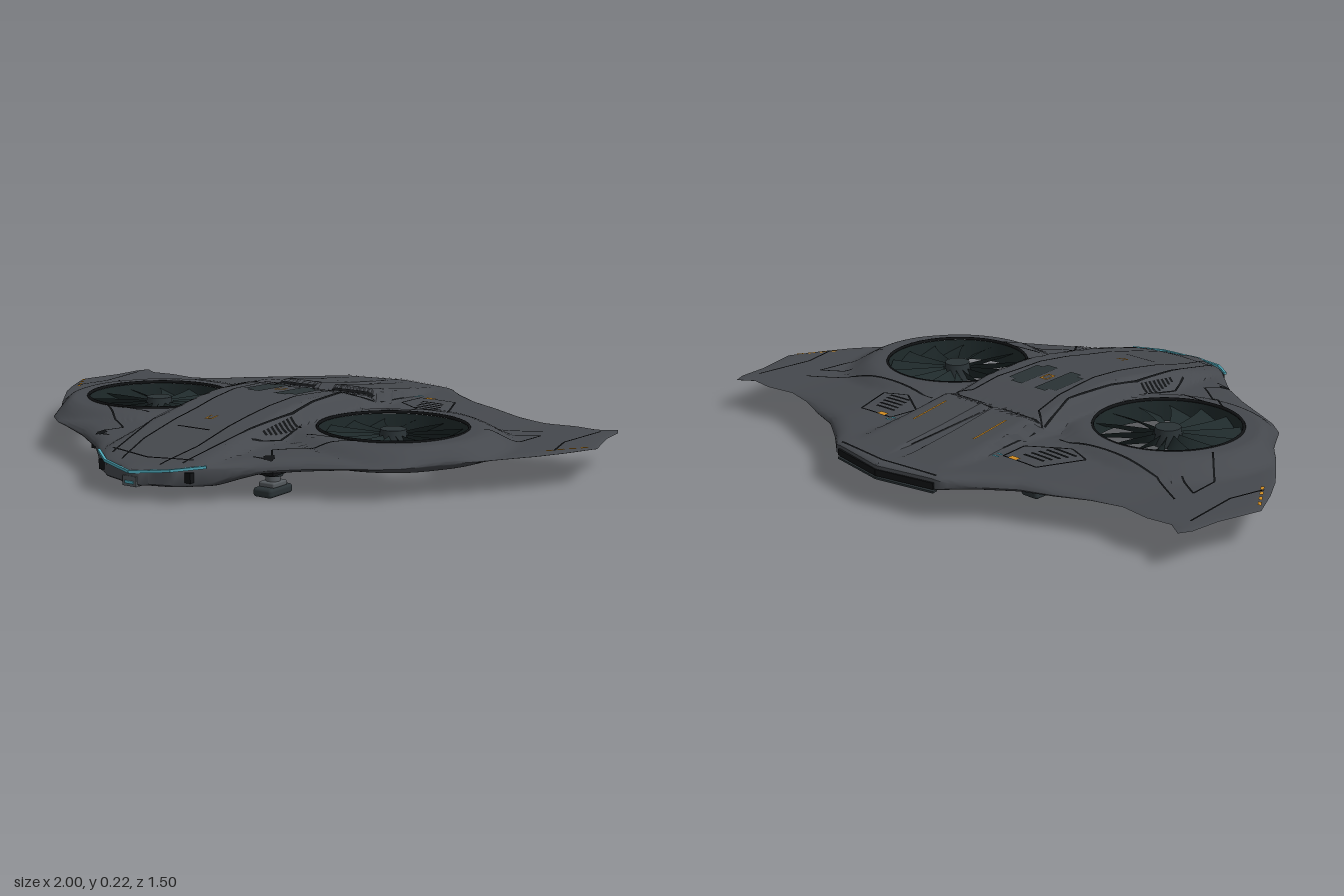
import * as THREE from 'three';
import { mergeGeometries, toCreasedNormals } from 'three/addons/utils/BufferGeometryUtils.js';
import { RoundedBoxGeometry } from 'three/addons/geometries/RoundedBoxGeometry.js';
import { ParametricGeometry } from 'three/addons/geometries/ParametricGeometry.js';

const mat = (name, color, side = THREE.FrontSide) => {
  const m = new THREE.MeshStandardMaterial({ color, side });
  m.name = name;
  return m;
};

// Half outline of the flying wing as (x, z), from nose to tail
const OUTLINE = [[0, .742], [.03, .737], [.05, .72], [.12, .70], [.17, .66], [.3, .54], [.42, .46], [.6, .37],
  [.66, .32], [.70, .25], [.73, .2], [.79, .13], [.9, -.02], [.95, -.11], [1, -.22], [.96, -.36], [.95, -.46], [.93, -.5],
  [.88, -.465], [.8, -.475], [.7, -.46], [.6, -.485], [.5, -.53], [.4, -.565], [.3, -.635], [.22, -.70], [0, -.745]];
const FAN = { x: .45, z: .04, r: .23 };

const interp = (table, v) => {
  if (v <= table[0][0]) return table[0][1];
  for (let i = 1; i < table.length; i++) {
    const [a, p] = table[i - 1], [b, q] = table[i];
    if (v <= b) return p + (q - p) * (v - a) / (b - a);
  }
  return table[table.length - 1][1];
};
const { smoothstep } = THREE.MathUtils;

// Height rules: middle plane, centre body roof and floor along z, their fade along x
const MID = [[-.75, .11], [0, .107], [.4, .1], [.74, .07]];
const ROOF = [[-.75, .128], [-.5, .145], [-.26, .165], [-.24, .175], [-.1, .205], [.08, .213], [.2, .202], [.4, .17], [.6, .125], [.74, .093]];
const HUMP = [[-.72, .132], [-.45, .165], [-.275, .192], [-.25, .17]];
const FLOOR = [[-.75, .09], [-.45, .085], [-.3, .07], [-.1, .045], [.4, .045], [.74, .04]];
const ROOF_FADE = [[.17, 1], [.19, .85], [.215, .48], [.25, .3], [.33, 0]];
const FLOOR_FADE = [[.2, 1], [.25, .6], [.3, .3], [.45, 0]];

function edgeDistance(x, z) {
  let best = 9;
  for (let i = 1; i < OUTLINE.length; i++) {
    const [ax, az] = OUTLINE[i - 1], dx = OUTLINE[i][0] - ax, dz = OUTLINE[i][1] - az;
    const t = THREE.MathUtils.clamp(((x - ax) * dx + (z - az) * dz) / (dx * dx + dz * dz), 0, 1);
    best = Math.min(best, Math.hypot(ax + dx * t - x, az + dz * t - z));
  }
  return best;
}

function height(x, z, top) {
  x = Math.abs(x);
  const mid = interp(MID, z);
  const ring = 1 - smoothstep(Math.hypot(x - FAN.x, z - FAN.z), .27, .38);
  const inner = 1 - smoothstep(x, .3, .75);
  let roof = interp(ROOF, z);
  if (z < -.25 && x > .025 && x < .195) roof = Math.max(roof, interp(HUMP, z));
  const h = top
    ? Math.max(.045 * ring, .025 * inner, interp(ROOF_FADE, x) * (roof - mid - .004))
    : Math.max(.024 * ring, .012 * inner, interp(FLOOR_FADE, x) * (mid - .004 - interp(FLOOR, z)));
  const blunt = .65 * (1 - smoothstep(x, .18, .32));
  const d = Math.min(1, edgeDistance(x, z) / .05);
  const round = blunt + (1 - blunt) * Math.sqrt(1 - (1 - d) ** 2);
  return mid + (top ? 1 : -1) * (h + .004) * round;
}

// Hull: rings spread from each fan opening to the outline, over the top and back below
function hullGeometry() {
  const path = [];
  const loop = [...OUTLINE, OUTLINE[0]];
  for (let i = 1; i < loop.length; i++) {
    const [ax, az] = loop[i - 1], [bx, bz] = loop[i];
    const n = Math.ceil(Math.hypot(bx - ax, bz - az) / .025);
    for (let k = 0; k < n; k++) path.push([ax + (bx - ax) * k / n, az + (bz - az) * k / n]);
  }
  const M = 26, rows = 2 * M + 2, pos = [], idx = [];
  for (const s of [1, -1]) {
    const base = pos.length / 3;
    for (const [ox, oz] of path) {
      const a = Math.atan2(oz - FAN.z, ox - FAN.x);
      const cx = FAN.x + FAN.r * Math.cos(a), cz = FAN.z + FAN.r * Math.sin(a);
      for (let j = 0; j < rows; j++) {
        const top = j <= M, u = (top ? j : rows - 1 - j) / M, t = 1 - (1 - u) ** 1.4;
        const x = cx + (ox - cx) * t, z = cz + (oz - cz) * t;
        pos.push(s * x, height(x, z, top), z);
      }
    }
    for (let i = 0; i < path.length; i++) {
      const i2 = (i + 1) % path.length;
      for (let j = 0; j < rows - 1; j++) {
        if (j === M && path[i][0] === 0 && path[i2][0] === 0) continue;
        const a = base + i * rows + j, c = base + i2 * rows + j;
        idx.push(...(s > 0 ? [a, a + 1, c, a + 1, c + 1, c] : [a, c, a + 1, a + 1, c, c + 1]));
      }
    }
  }
  const g = new THREE.BufferGeometry();
  g.setAttribute('position', new THREE.Float32BufferAttribute(pos, 3));
  g.setIndex(idx);
  return toCreasedNormals(g, .6);
}

// Thin strip that follows the upper skin through (x, z) points
function strip(points, width = .006, lift = .003) {
  const pos = [], idx = [];
  for (let i = 1; i < points.length; i++) {
    const [ax, az] = points[i - 1], [bx, bz] = points[i];
    const len = Math.hypot(bx - ax, bz - az), n = Math.ceil(len / .015);
    const px = -(bz - az) / len * width / 2, pz = (bx - ax) / len * width / 2;
    for (let k = 0; k <= n; k++) {
      const x = ax + (bx - ax) * k / n, z = az + (bz - az) * k / n, v = pos.length / 3;
      for (const e of [1, -1]) pos.push(x + e * px, height(x + e * px, z + e * pz, true) + lift, z + e * pz);
      if (k < n) idx.push(v, v + 2, v + 1, v + 1, v + 2, v + 3);
    }
  }
  const g = new THREE.BufferGeometry();
  g.setAttribute('position', new THREE.Float32BufferAttribute(pos, 3));
  g.setIndex(idx);
  g.computeVertexNormals();
  return g;
}

export function createModel() {
  const model = new THREE.Group();
  const hullMat = mat('hull grey', 0x45484d), bladeMat = mat('blade dark green', 0x1f2a2b, THREE.DoubleSide);
  const lineMat = mat('seam black', 0x101214, THREE.DoubleSide), panelMat = mat('panel slate', 0x2a3235, THREE.DoubleSide);
  const metal = mat('gear grey', 0x54595d), amber = mat('amber', 0xd08c22, THREE.DoubleSide), cyan = mat('cyan', 0x4fa9ba, THREE.DoubleSide);
  const add = (name, geo, material, x = 0, y = 0, z = 0, parent = model) => {
    const m = new THREE.Mesh(geo, material);
    m.name = name;
    m.position.set(x, y, z);
    parent.add(m);
    return m;
  };
  const box = (name, w, h, d, material, x, y, z) => add(name, new THREE.BoxGeometry(w, h, d), material, x, y, z);
  const bar = (name, a, b, w, h, material) => {
    const p = new THREE.Vector3(...a), q = new THREE.Vector3(...b);
    const m = add(name, new THREE.BoxGeometry(w, h, p.distanceTo(q)), material);
    m.position.copy(p).lerp(q, .5);
    m.lookAt(q);
  };
  const flip = (pts, s) => pts.map(([x, z]) => [s * x, z]);
  const strips = (name, list, material, width, lift) => add(name,
    mergeGeometries(list.flatMap(p => [1, -1].map(s => strip(flip(p, s), width, lift)))), material);

  add('hull', hullGeometry(), hullMat);

  // Lift fans: duct, rim, pitched blades and hub
  for (const s of [1, -1]) {
    const fan = new THREE.Group();
    fan.name = s > 0 ? 'leftFan' : 'rightFan';
    fan.position.set(s * FAN.x, .115, FAN.z);
    model.add(fan);
    add('duct', new THREE.CylinderGeometry(.228, .228, .068, 64, 1, true), bladeMat, 0, 0, 0, fan);
    add('rim', new THREE.TorusGeometry(.229, .005, 6, 64).rotateX(Math.PI / 2), lineMat, 0, .039, 0, fan);
    const N = 14, step = Math.PI * 2 / N, blades = [];
    for (let i = 0; i < N; i++) {
      blades.push(new ParametricGeometry((u, v, p) => {
        const r = .045 + .18 * u, a = s * (i * step + .12 * u * u + step * v * (.92 - .2 * u));
        p.set(r * Math.cos(a), (v - .5) * .036, r * Math.sin(a));
      }, 6, 3));
    }
    add('blades', mergeGeometries(blades), bladeMat, 0, 0, 0, fan);
    add('hub', new THREE.CylinderGeometry(.04, .046, .055, 24), panelMat, 0, .005, 0, fan);
  }

  // Panel seams on the upper skin
  const vent = [[.24, -.46], [.37, -.46], [.43, -.31], [.35, -.28], [.23, -.36], [.24, -.46]];
  strips('panelSeams', [vent,
    [[0, -.25], [.2, -.25]], [[.2, -.25], [.14, -.2], [.12, 0], [.1, .3], [.1, .55], [.07, .69]],
    [[.2, -.24], [.17, -.1], [.19, .2], [.17, .42], [.13, .66]], [[0, .66], [.15, .635]], [[0, .44], [.06, .44]],
    [[0, -.72], [.2, -.695]], [[.27, -.25], [.65, -.25], [.78, -.33]],
    [[.7, -.2], [.79, -.26], [.78, -.15], [.7, -.06]], [[.91, -.42], [.89, -.22], [.92, -.1]],
    [[.3, .28], [.48, .27], [.28, .43], [.33, .5], [.27, .51]], [[.2, .42], [.24, .33], [.22, .2]]], lineMat);
  strips('intakeSlots', [[[.035, -.252], [.19, -.252]]], lineMat, .016, .005);
  strips('spineGrooves', [[[.022, -.27], [.022, -.58]], [[.2, -.28], [.2, -.42]]], lineMat, .005);

  // Vent grilles, side gills and cabin roof panels
  const grille = [];
  for (let r = 0; r < 5; r++) grille.push([[.275 + r * .008, -.41 + r * .024], [.355 + r * .01, -.41 + r * .024]]);
  strips('ventGrilles', grille, lineMat, .01);
  const gills = [];
  for (let k = 0; k < 8; k++) gills.push([[.195, .215 + k * .02], [.235 - k * .004, .215 + k * .02]]);
  strips('sideGills', gills, lineMat, .011);
  strips('roofPanels', [[[.05, -.1], [.05, .07]]], panelMat, .045);
  strips('roofPanelEdges', [[[.085, -.08], [.085, .05]]], panelMat, .028);
  strips('frontMarks', [[[.3, .5], [.325, .48]]], lineMat, .025);

  // Amber and cyan markings
  const dashes = [];
  for (let k = 0; k < 4; k++) dashes.push([[.978 - k * .021, -.2 + k * .032], [.965 - k * .021, -.18 + k * .032]]);
  strips('wingTipDashes', dashes, amber, .01);
  strips('rearStripes', [[[.127, -.47], [.127, -.33]]], amber, .007, .004);
  strips('ventTags', [[[.262, -.455], [.295, -.455]]], amber, .02, .005);
  strips('ventLights', [[[.215, -.48], [.24, -.48]], [[.215, -.46], [.235, -.46]]], cyan, .008, .005);
  strips('roofBadge', [[[.012, -.03], [.012, .012]], [[0, -.027], [.015, -.027]], [[0, .009], [.015, .009]]], amber, .007, .004);
  strips('frontBadge', [[[.01, .335], [.01, .368]], [[0, .365], [.013, .365]]], amber, .007, .004);

  // Nose light bar, chin sensor, side nubs and tail exhaust
  for (const s of [1, -1]) {
    const light = [[0, .086, .745], [.05, .09, .728], [.12, .097, .706], [.2, .106, .64]];
    for (let i = 1; i < light.length; i++) {
      const [a, b] = [light[i - 1], light[i]].map(([x, y, z]) => [s * x, y, z]);
      bar('noseLight', a, b, .008, .008, cyan);
    }
    box('noseNub', .03, .03, .03, lineMat, s * .155, .075, .662);
    bar('tailExhaust', [0, .108, -.743], [s * .2, .108, -.705], .012, .02, lineMat);
    bar('tailLip', [0, .09, -.738], [s * .2, .09, -.702], .02, .006, panelMat);
  }
  box('chinSensor', .05, .03, .03, metal, 0, .058, .728);
  box('chinLight', .03, .008, .004, cyan, 0, .055, .744);

  // Belly pad with amber marking rows
  add('bellyPad', new RoundedBoxGeometry(.2, .03, .27, 2, .006), metal, 0, .037, .085);
  for (const x of [-.035, .035]) {
    for (let k = 0; k < 4; k++) box('bellyMark', .055, .004, .022, amber, x, .012, .02 + k * .042);
  }
  box('bellyTag', .1, .005, .045, lineMat, 0, .012, -.025);

  // Landing gear: bay, collar, strut and foot
  for (const s of [1, -1]) {
    for (const [x, z, y] of [[.29, .44, .078], [.28, -.34, .088]]) {
      const gear = new THREE.Group();
      gear.name = z > 0 ? 'frontGear' : 'rearGear';
      gear.position.set(s * x, 0, z);
      model.add(gear);
      add('foot', new RoundedBoxGeometry(.066, .028, .114, 3, .01), panelMat, 0, .014, 0, gear);
      add('ankle', new RoundedBoxGeometry(.055, .016, .07, 2, .005), metal, 0, .034, 0, gear);
      add('strut', new THREE.CylinderGeometry(.022, .022, y - .03, 16), metal, 0, (y + .03) / 2, 0, gear);
      add('collar', new THREE.CylinderGeometry(.036, .03, .016, 16), panelMat, 0, y - .012, 0, gear);
      add('bay', new THREE.BoxGeometry(.1, .012, .14), lineMat, 0, y, 0, gear);
    }
  }
  return model;
}
